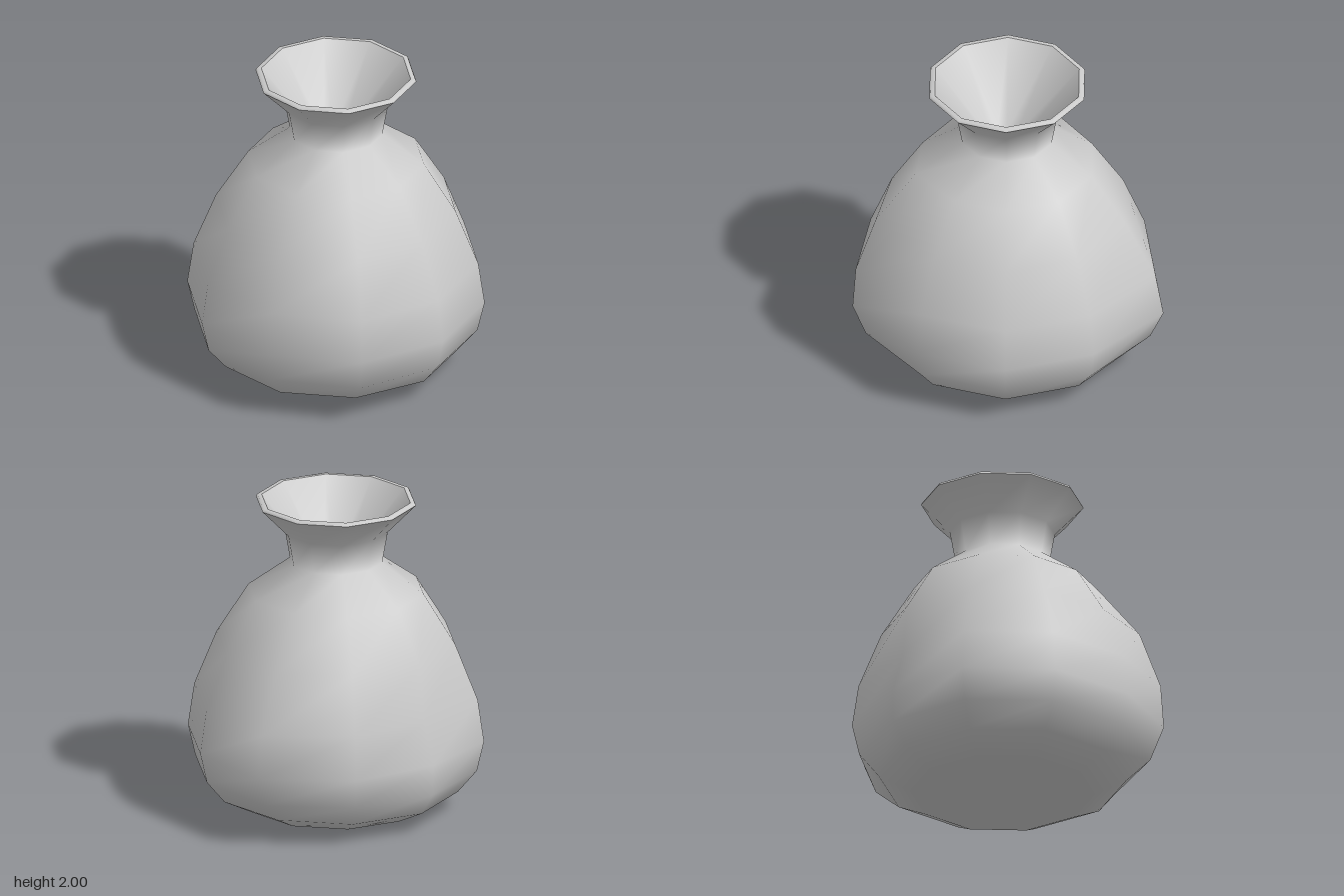
import * as THREE from 'three';

const SIDES = 10;
const CENTRE_Z = 0.01;

// Dents and bulges of the cloth, as [ring, side, radius change, height change]
const BUMPS = [
  [3, 2, 0.03, 0], [4, 2, 0.07, 0.03], [5, 2, 0.09, 0.04], [6, 2, 0.1, 0.04], [7, 2, 0.04, 0.02],
  [3, 8, 0.05, 0], [4, 8, 0.09, 0], [5, 8, 0.08, 0], [6, 8, 0.03, 0],
  [3, 6, -0.02, 0], [4, 6, -0.06, 0], [5, 6, -0.1, 0],
];

// Skin a stack of ten-sided rings given as [radius, height]
function ringSurface(name, material, profile, bumps = []) {
  const positions = [];
  const index = [];
  profile.forEach(([radius, height], ring) => {
    for (let side = 0; side < SIDES; side++) {
      const bump = bumps.find((b) => b[0] === ring && b[1] === side);
      const r = radius + (bump ? bump[2] : 0);
      const y = height + (bump ? bump[3] : 0);
      const angle = (side / SIDES) * Math.PI * 2;
      positions.push(r * Math.cos(angle), y, r * Math.sin(angle) + CENTRE_Z);
      if (ring === 0) continue;
      const next = (side + 1) % SIDES;
      const a = (ring - 1) * SIDES + side;
      const b = (ring - 1) * SIDES + next;
      const c = ring * SIDES + side;
      const d = ring * SIDES + next;
      index.push(a, c, b, b, c, d);
    }
  });
  const geometry = new THREE.BufferGeometry();
  geometry.setAttribute('position', new THREE.Float32BufferAttribute(positions, 3));
  geometry.setIndex(index);
  geometry.computeVertexNormals();
  const mesh = new THREE.Mesh(geometry, material);
  mesh.name = name;
  return mesh;
}

export function createModel() {
  const group = new THREE.Group();
  group.name = 'pouch';
  const cloth = new THREE.MeshStandardMaterial({ color: 0xcccccc });

  // Sagging bag with its pinched neck and flared mouth
  group.add(ringSurface('bag', cloth, [
    [0.002, 0], [0.565, 0.03], [0.765, 0.13], [0.885, 0.275], [0.93, 0.47], [0.89, 0.74],
    [0.75, 1.09], [0.55, 1.41], [0.29, 1.6], [0.325, 1.8], [0.503, 1.985],
  ], BUMPS));

  // Narrow lip around the mouth
  group.add(ringSurface('lip', cloth, [[0.503, 1.985], [0.495, 2], [0.467, 2]]));

  // Funnel inside the mouth
  group.add(ringSurface('mouthInside', cloth, [[0.467, 2], [0.105, 1.55]]));

  // Small flat floor of the funnel
  group.add(ringSurface('mouthFloor', cloth, [[0.105, 1.55], [0.001, 1.55]]));

  return group;
}
